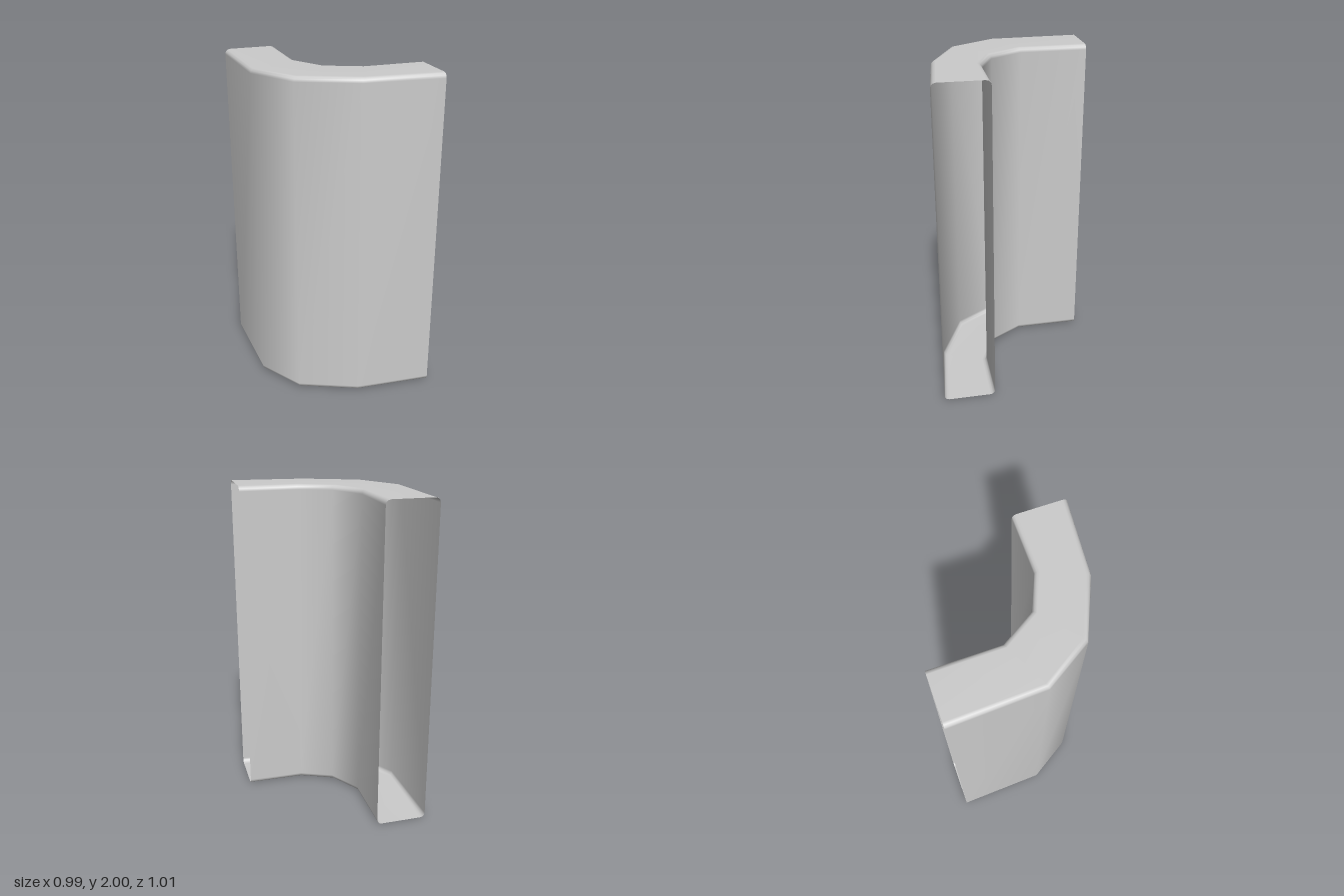
import * as THREE from 'three';

const HEIGHT = 2, RADIUS = 0.03, CORNER_STEPS = 3;

// Plan of the bend: matching outer and inner wall points [x, z] per station
const outerPlan = [[-0.495, -0.505], [-0.475, 0.04], [-0.31, 0.305], [0.03, 0.457], [0.49, 0.503]];
const innerPlan = [[-0.18, -0.505], [-0.18, -0.10], [-0.06, 0.097], [0.14, 0.184], [0.49, 0.187]];

// Rounded rectangle, counter-clockwise, u across the duct and v up
function roundedSection(width) {
  const points = [];
  const corners = [[width, 0], [width, HEIGHT], [0, HEIGHT], [0, 0]];
  corners.forEach(([u, v], k) => {
    const cu = u ? u - RADIUS : RADIUS, cv = v ? v - RADIUS : RADIUS;
    for (let s = 0; s <= CORNER_STEPS; s++) {
      const a = (k - 1 + s / CORNER_STEPS) * Math.PI / 2;
      points.push([cu + RADIUS * Math.cos(a), cv + RADIUS * Math.sin(a)]);
    }
  });
  return points;
}

// Loft the section through the stations, leaving both ends open
function ductGeometry() {
  const positions = [], index = [];
  const n = 4 * (CORNER_STEPS + 1);
  outerPlan.forEach(([ox, oz], i) => {
    const dx = innerPlan[i][0] - ox, dz = innerPlan[i][1] - oz;
    const width = Math.hypot(dx, dz);
    for (const [u, v] of roundedSection(width)) {
      positions.push(ox + dx * u / width, v, oz + dz * u / width);
    }
    if (i === 0) return;
    for (let j = 0; j < n; j++) {
      const a = (i - 1) * n + j, b = (i - 1) * n + (j + 1) % n;
      index.push(a, b, a + n, b, b + n, a + n);
    }
  });
  const geometry = new THREE.BufferGeometry();
  geometry.setAttribute('position', new THREE.Float32BufferAttribute(positions, 3));
  geometry.setIndex(index);
  geometry.computeVertexNormals();
  return geometry;
}

export function createModel() {
  const group = new THREE.Group();
  group.name = 'ductElbow';
  const material = new THREE.MeshStandardMaterial({ color: 0xcccccc, side: THREE.DoubleSide });
  const shell = new THREE.Mesh(ductGeometry(), material);
  shell.name = 'elbowShell';
  group.add(shell);
  return group;
}
